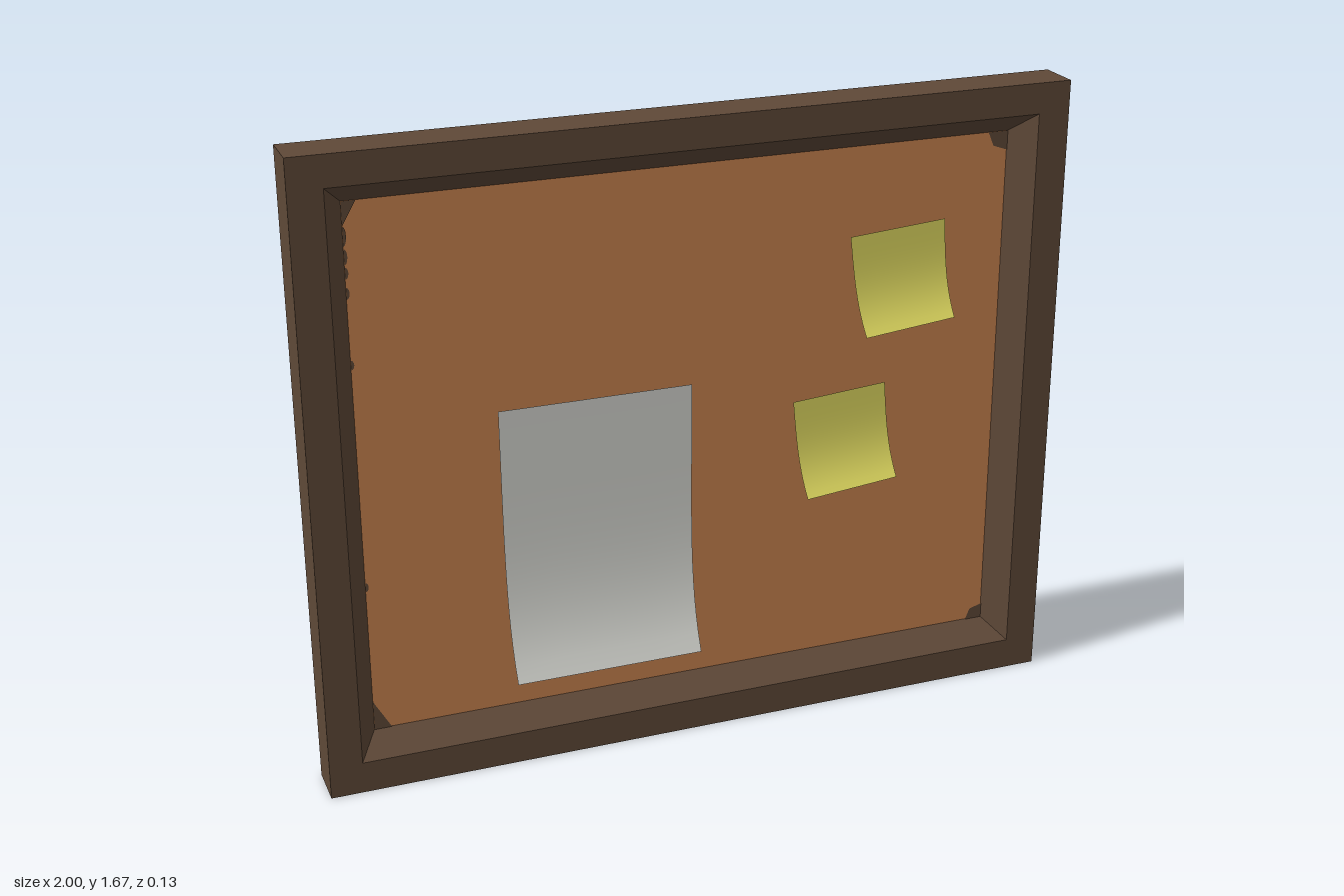
import * as THREE from 'three';

const BOARD_Z = -0.02;
const L = -0.865, R = 0.865, B = 0.135, T = 1.535; // visible cork area

const material = (name, color, side = THREE.FrontSide) => {
  const m = new THREE.MeshStandardMaterial({ color, side });
  m.name = name;
  return m;
};

// Joins rectangles [left, right, bottom, top, z] into flat sided walls
function rectLoft(rings) {
  const pos = [];
  const corners = ([l, r, b, t, z]) => [[l, b, z], [r, b, z], [r, t, z], [l, t, z]];
  for (let i = 0; i < rings.length - 1; i++) {
    const a = corners(rings[i]), c = corners(rings[i + 1]);
    for (let k = 0; k < 4; k++) {
      const n = (k + 1) % 4;
      for (const p of [a[k], a[n], c[n], a[k], c[n], c[k]]) pos.push(...p);
    }
  }
  const g = new THREE.BufferGeometry();
  g.setAttribute('position', new THREE.Float32BufferAttribute(pos, 3));
  g.computeVertexNormals();
  return g;
}

// Sheet stretched between four corners, its lower edge curling forward
function sheet(tl, tr, br, bl, lift, power) {
  const g = new THREE.PlaneGeometry(1, 1, 4, 16);
  const p = g.attributes.position;
  for (let i = 0; i < p.count; i++) {
    const s = p.getX(i) + 0.5, t = 0.5 - p.getY(i);
    const at = (k) => THREE.MathUtils.lerp(
      THREE.MathUtils.lerp(tl[k], tr[k], s), THREE.MathUtils.lerp(bl[k], br[k], s), t);
    p.setXYZ(i, at(0), at(1), BOARD_Z + 0.005 + lift * t ** power);
  }
  g.computeVertexNormals();
  return g;
}

export function createModel() {
  const group = new THREE.Group();
  const wood = material('dark wood', 0x5f4938);
  const cork = material('cork', 0xc9834f);
  const white = material('paper white', 0xd4d5cf, THREE.DoubleSide);
  const yellow = material('note yellow', 0xdfd960, THREE.DoubleSide);
  const add = (name, geometry, mat, x = 0, y = 0, z = 0) => {
    const mesh = new THREE.Mesh(geometry, mat);
    mesh.name = name;
    mesh.position.set(x, y, z);
    group.add(mesh);
    return mesh;
  };

  // Frame: outer sides, front face and bevelled inner lip
  add('frame', rectLoft([
    [-1, 1, 0, 1.67, -0.07],
    [-1, 1, 0, 1.67, 0.05],
    [-0.915, 0.915, 0.085, 1.59, 0.05],
    [L, R, B, T, BOARD_Z],
  ]), wood);
  add('backPanel', new THREE.PlaneGeometry(2, 1.67), wood, 0, 0.835, -0.07).rotation.y = Math.PI;

  // Cork surface
  add('corkBoard', new THREE.PlaneGeometry(R - L, T - B), cork, 0, (B + T) / 2, BOARD_Z);

  // Worn wood showing at the corners: x, y, width, height, bulge
  const worn = [
    [L, T, 0.035, -0.06, 0.5], [R, T, -0.055, -0.05, 0.72],
    [L, B, 0.045, 0.08, 0.5], [R, B, -0.048, 0.042, 0.74],
  ];
  for (const [x, y, w, h, k] of worn) {
    const pts = [[0, 0], [w, 0], [w * k, h * k], [0, h]].map(([a, b]) => new THREE.Vector2(a, b));
    add('wornCorner', new THREE.ShapeGeometry(new THREE.Shape(pts)), wood, x, y, BOARD_Z + 0.003);
  }

  // Small chips along the left edge: y, height
  for (const [y, h] of [[1.45, 0.05], [1.4, 0.04], [1.36, 0.03], [1.31, 0.03], [1.13, 0.025], [0.54, 0.025]]) {
    const chip = new THREE.CircleGeometry(1, 6, -Math.PI / 2, Math.PI);
    chip.scale(0.008, h / 2, 1);
    add('edgeChip', chip, wood, L, y, BOARD_Z + 0.003);
  }

  // Pinned sheet and two sticky notes
  add('paperSheet', sheet([-0.51, 0.96], [0, 0.96], [-0.005, 0.235], [-0.505, 0.235], 0.08, 5), white);
  add('upperNote', sheet([0.43, 1.3], [0.695, 1.32], [0.71, 1.065], [0.46, 1.04], 0.05, 3.5), yellow);
  add('lowerNote', sheet([0.28, 0.87], [0.54, 0.89], [0.56, 0.635], [0.305, 0.61], 0.05, 3.5), yellow);

  return group;
}
